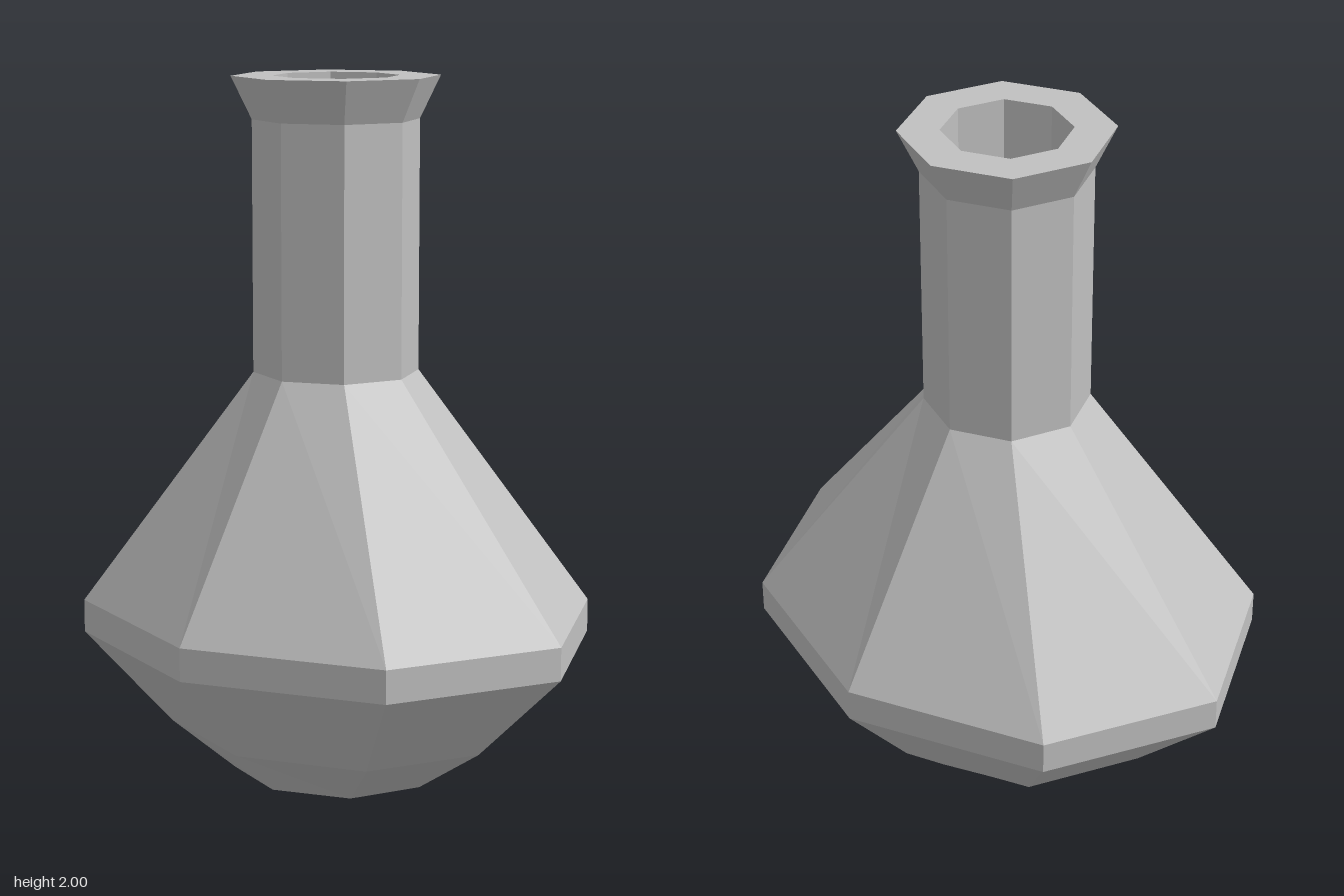
import * as THREE from 'three';

const SIDES = 8;

// Faceted ring stack: each entry is [radius x, height, radius z], outside faces need rising heights
function facetedRings(rings) {
  const profile = rings.map(([rx, y]) => new THREE.Vector2(rx, y));
  const geometry = new THREE.LatheGeometry(profile, SIDES);
  const pos = geometry.attributes.position;
  // Flatten each ring into its own oval
  for (let i = 0; i < pos.count; i++) {
    const [rx, , rz] = rings[i % rings.length];
    if (rx > 0) pos.setZ(i, pos.getZ(i) * rz / rx);
  }
  const flat = geometry.toNonIndexed();
  flat.computeVertexNormals();
  return flat;
}

export function createModel() {
  const group = new THREE.Group();
  group.name = 'flask';
  const grey = new THREE.MeshStandardMaterial({ color: 0xc0c0c0, flatShading: true });
  grey.name = 'grey';

  const add = (name, rings) => {
    const mesh = new THREE.Mesh(facetedRings(rings), grey);
    mesh.name = name;
    group.add(mesh);
  };

  // Oval body with closed base, tapering up to the round neck
  add('body', [
    [0, 0, 0],
    [0.307, 0, 0.282],
    [0.515, 0.14, 0.437],
    [0.787, 0.406, 0.66],
    [0.787, 0.5, 0.66],
    [0.235, 1.17, 0.235],
  ]);

  // Straight neck
  add('neck', [[0.235, 1.17, 0.235], [0.235, 1.88, 0.235]]);

  // Flared lip with flat top
  add('lip', [[0.235, 1.88, 0.235], [0.293, 2, 0.293], [0.178, 2, 0.178]]);

  // Inside of the neck, closed by a floor
  add('bore', [[0.178, 2, 0.178], [0.178, 1.17, 0.178], [0, 1.17, 0]]);

  return group;
}
